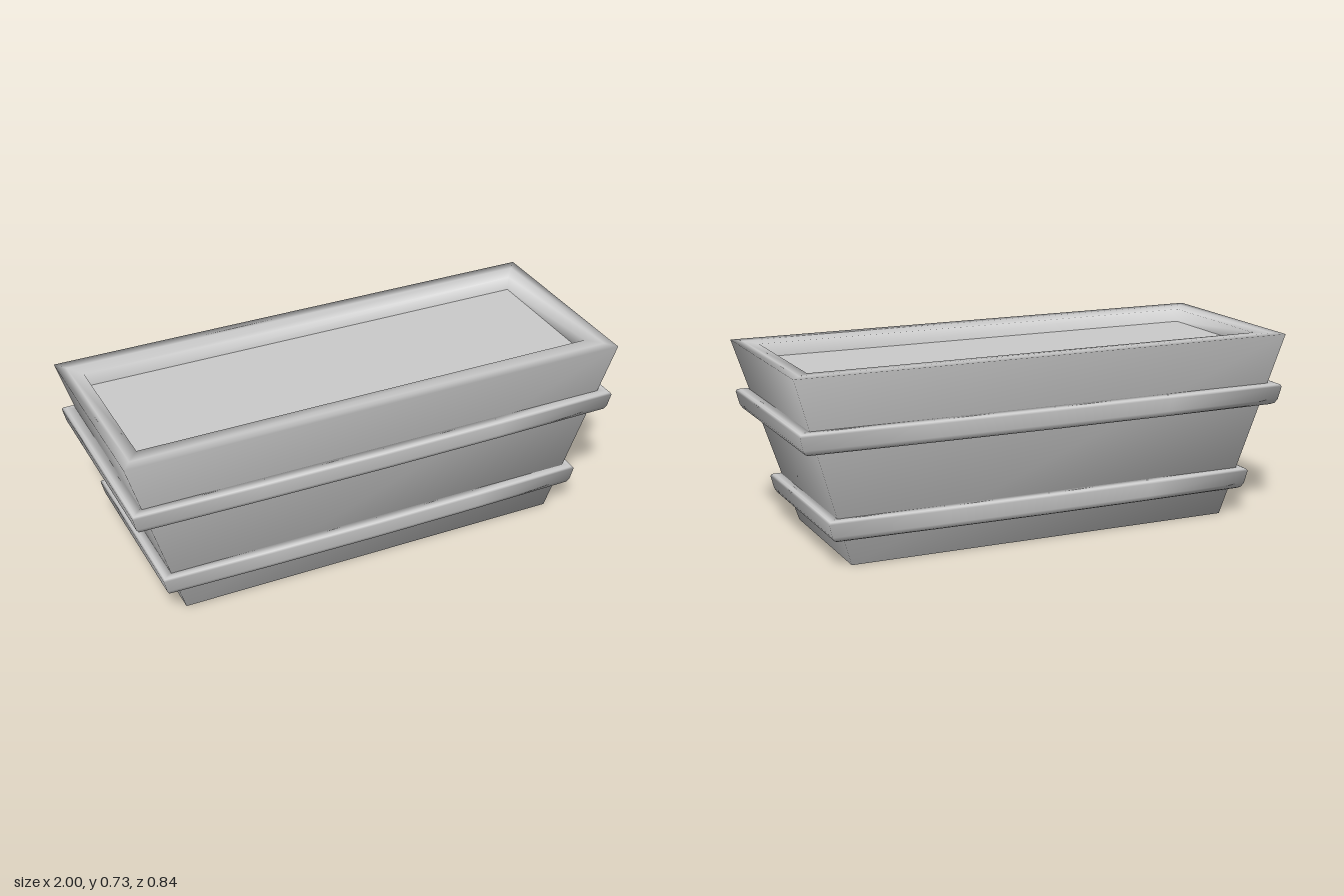
import * as THREE from 'three';

// Rectangular loop, counter-clockwise from above; long sides may be split and bowed outwards
function rectLoop([y, hx, hz], segs, bow) {
  const pts = [];
  for (const s of [1, -1]) {
    // short end at s * x, then the long side running away from it
    pts.push([s * hx, y, s * hz]);
    for (let i = 0; i < segs; i++) {
      const t = i / segs;
      pts.push([s * hx * (1 - 2 * t), y, -s * (hz + bow * Math.sin(Math.PI * t))]);
    }
  }
  return pts;
}

// Joins rectangular rings [y, halfWidth, halfDepth] into one smooth skin
function loftRings(rings, { segs = 1, bow = 0, closed = false, bottom = false } = {}) {
  const loops = rings.map((r) => rectLoop(r, segs, bow));
  const n = loops[0].length;
  const count = loops.length;
  const index = [];
  for (let i = 0; i < (closed ? count : count - 1); i++) {
    for (let j = 0; j < n; j++) {
      const k = (j + 1) % n;
      const up = ((i + 1) % count) * n;
      index.push(i * n + j, i * n + k, up + k, i * n + j, up + k, up + j);
    }
  }
  if (bottom) for (let j = 1; j < n - 1; j++) index.push(0, j + 1, j);
  const geo = new THREE.BufferGeometry();
  geo.setAttribute('position', new THREE.Float32BufferAttribute(loops.flat(2), 3));
  geo.setIndex(index);
  geo.computeVertexNormals();
  return geo;
}

export function createModel() {
  const group = new THREE.Group();
  const material = new THREE.MeshStandardMaterial({ color: 0xcccccc });
  const add = (name, geo) => {
    const mesh = new THREE.Mesh(geo, material);
    mesh.name = name;
    group.add(mesh);
    return mesh;
  };

  const height = 0.725;
  const soilY = 0.67;

  // Tapered box with a softened rim and a shallow recess
  add('planterBody', loftRings([
    [0, 0.775, 0.31],
    [height, 1, 0.398],
    [height, 0.965, 0.353],
    [height - 0.005, 0.917, 0.292],
    [soilY, 0.91, 0.283],
  ], { bottom: true }));

  // Soil surface
  const soil = add('soil', new THREE.PlaneGeometry(1.82, 0.566));
  soil.rotation.x = -Math.PI / 2;
  soil.position.y = soilY;

  // Rounded mouldings: y of the underside, half width and half depth at the widest point
  const bands = [
    ['lowerBand', 0.105, 0.872, 0.36],
    ['upperBand', 0.447, 0.985, 0.407],
  ];
  for (const [name, y, hx, hz] of bands) {
    // [rise, inset in x, inset in z]; the first and last rings sit just inside the wall
    const profile = [
      [0, 0.073, 0.053],
      [0, 0.035, 0.022],
      [0.006, 0.022, 0.012],
      [0.022, 0.012, 0.006],
      [0.072, 0, 0],
      [0.08, 0.005, 0.004],
      [0.083, 0.014, 0.012],
      [0.083, 0.048, 0.045],
    ];
    const rings = profile.map(([dy, ix, iz]) => [y + dy, hx - ix, hz - iz]);
    add(name, loftRings(rings, { segs: 4, bow: 0.011, closed: true }));
  }
  return group;
}
